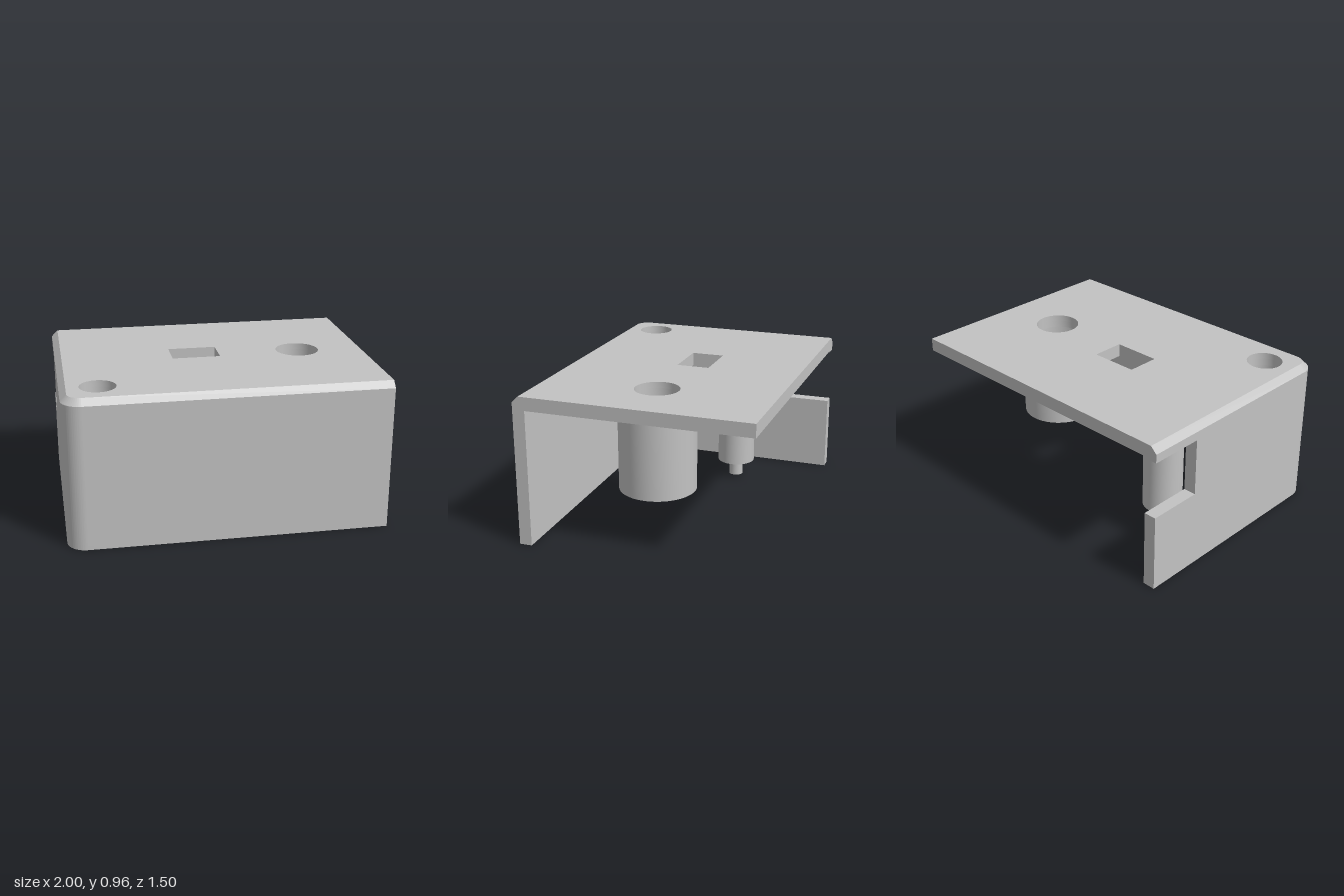
import * as THREE from 'three';
import { toCreasedNormals } from 'three/addons/utils/BufferGeometryUtils.js';

const X = 1, Z = 0.7475;               // half width and half depth
const T = 0.08;                        // wall thickness
const R = 0.12, CHAMFER = 0.04;        // rounded corner and top chamfer
const UNDER = 0.875, TOP = 0.96;       // underside and top of the lid plate
const SCREW = [-0.77, 0.515], TUBE = [0.58, -0.01], POST = [-0.55, -0.177];

export function createModel() {
  const group = new THREE.Group();
  const grey = new THREE.MeshStandardMaterial({ color: 0xc2c2c2 });
  grey.name = 'light grey plastic';

  const add = (name, geometry) => {
    const mesh = new THREE.Mesh(toCreasedNormals(geometry, 0.5), grey);
    mesh.name = name;
    group.add(mesh);
    return mesh;
  };

  // Plan shapes are drawn in (x, z) and extruded from y0 up to y1
  const slab = (shape, y0, y1) =>
    new THREE.ExtrudeGeometry(shape, { depth: y1 - y0, bevelEnabled: false, curveSegments: 32 })
      .rotateX(Math.PI / 2).translate(0, y1, 0);
  const circle = ([x, z], r) => new THREE.Path().absarc(x, z, r, 0, Math.PI * 2, false);
  const polygon = (pts) => new THREE.Shape(pts.map(([x, z]) => new THREE.Vector2(x, z)));
  const roundCorner = (shape) => shape.absarc(-X + R, Z - R, R, Math.PI, Math.PI / 2, true);

  // Lid plate: rounded front corner, window, round opening and screw recess
  const plate = new THREE.Shape();
  plate.moveTo(-X, -Z);
  plate.lineTo(-X, Z - R);
  roundCorner(plate);
  plate.lineTo(X, Z);
  plate.lineTo(X, -Z);
  plate.closePath();
  plate.holes.push(
    polygon([[-0.255, -0.16], [0.055, -0.16], [0.055, 0.05], [-0.255, 0.05]]),
    circle(TUBE, 0.14),
    circle(SCREW, 0.112),
  );
  add('lidPlate', slab(plate, UNDER, TOP - CHAMFER));

  // Top layer: pull in the upper rim along the two walled sides
  const chamfered = slab(plate, TOP - CHAMFER, TOP);
  const p = chamfered.attributes.position;
  for (let i = 0; i < p.count; i++) {
    if (p.getY(i) < TOP - 0.01) continue;
    const dx = Math.min(p.getX(i) + X - R, 0), dz = Math.max(p.getZ(i) - Z + R, 0);
    const d = Math.hypot(dx, dz);
    if (d < R - 0.001) continue;
    p.setX(i, p.getX(i) - CHAMFER * dx / d);
    p.setZ(i, p.getZ(i) - CHAMFER * dz / d);
  }
  add('chamferedTop', chamfered);

  // Front and side walls with the corner screw block
  const walls = (holeRadius) => {
    const s = new THREE.Shape();
    s.moveTo(-X, -0.405);
    s.lineTo(-X, Z - R);
    roundCorner(s);
    for (const [x, z] of [[X, Z], [X, Z - T], [-0.62, Z - T], [-0.62, 0.37], [-X + T, 0.37], [-X + T, -0.405]])
      s.lineTo(x, z);
    s.closePath();
    s.holes.push(circle(SCREW, holeRadius));
    return s;
  };
  add('lowerWalls', slab(walls(0.06), 0, 0.2));
  add('upperWalls', slab(walls(0.112), 0.2, UNDER));

  // Side wall below and above the notch
  const rear = polygon([[-X, -Z], [-X + T, -Z], [-X + T, -0.405], [-X, -0.405]]);
  add('wallBelowNotch', slab(rear, 0, 0.5));
  add('wallAboveNotch', slab(rear, 0.865, UNDER));

  // Hollow tube under the round opening
  const ring = new THREE.Shape().absarc(...TUBE, 0.2425, 0, Math.PI * 2, false);
  ring.holes.push(circle(TUBE, 0.188));
  add('tube', slab(ring, 0.325, UNDER));

  // Stepped post hanging from the plate
  const post = [['postFlange', 0.188, 0.805, UNDER, 48], ['postShaft', 0.127, 0.12, 0.805, 48], ['postTip', 0.048, 0.01, 0.12, 24]];
  for (const [name, r, y0, y1, sides] of post)
    add(name, new THREE.CylinderGeometry(r, r, y1 - y0, sides).translate(POST[0], (y0 + y1) / 2, POST[1]));

  return group;
}
